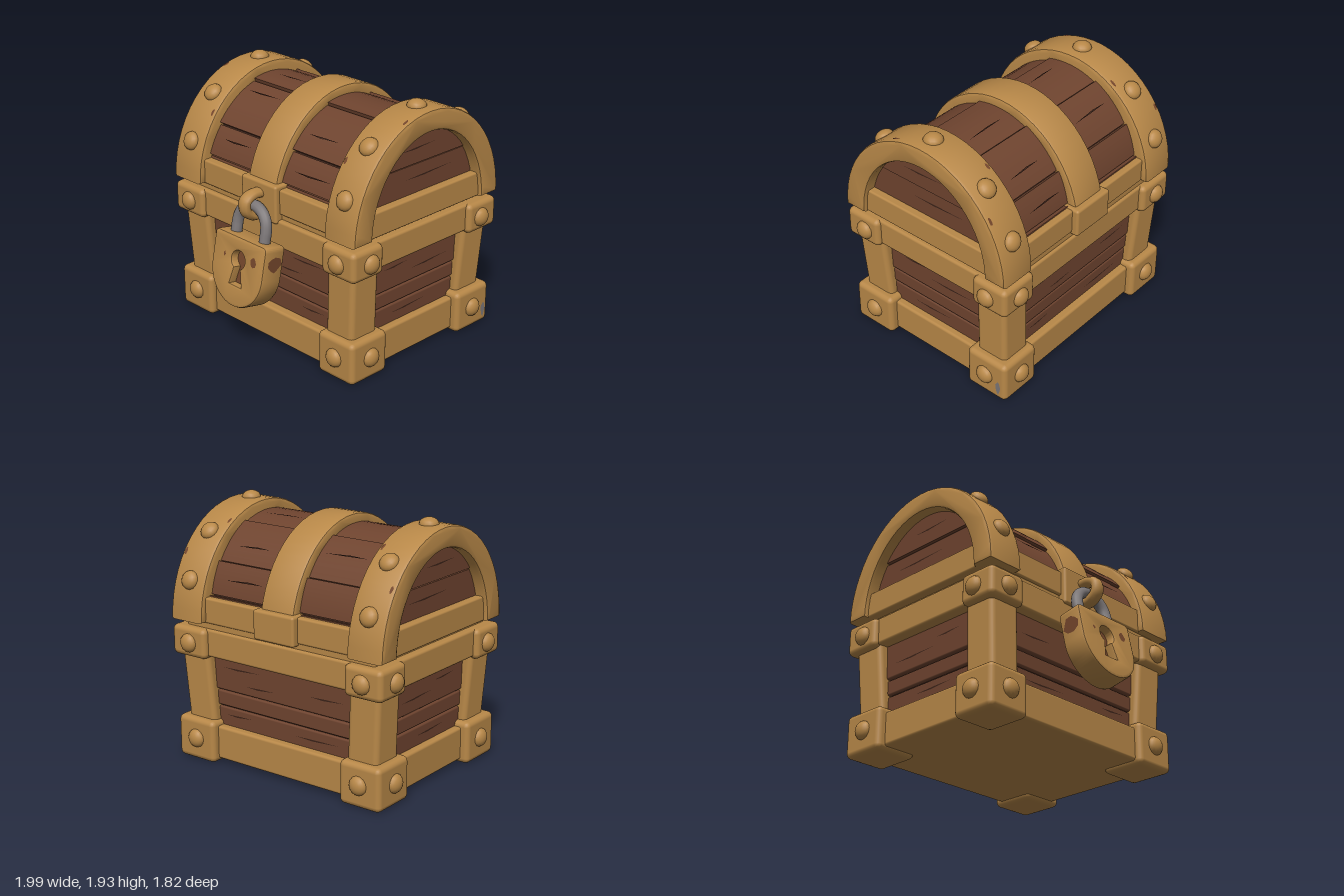
import * as THREE from 'three';
import { toCreasedNormals } from 'three/addons/utils/BufferGeometryUtils.js';
import { RoundedBoxGeometry } from 'three/addons/geometries/RoundedBoxGeometry.js';

const ZC = -0.11;      // depth centre of the chest
const LID_Y = 1.07;    // base of the lid
const V = (x, y, z) => new THREE.Vector3(x, y, z);

export function createModel() {
  const root = new THREE.Group();
  root.name = 'treasureChest';
  const material = (name, color) => Object.assign(new THREE.MeshStandardMaterial({ color }), { name });
  const gold = material('gold', 0xb88848);
  const wood = material('wood', 0x6f442f);
  const crackDark = material('crackDark', 0x3a2218);
  const steel = material('steel', 0x7b7677);
  const wear = material('wornBrown', 0x74462b);

  let seed = 7;
  const rand = () => (seed = (seed * 16807) % 2147483647) / 2147483647;

  const add = (name, geo, mat, parent = root) => {
    const m = new THREE.Mesh(geo, mat);
    m.name = name;
    parent.add(m);
    return m;
  };
  // Rounded box given by its limits
  const block = (name, x0, x1, y0, y1, z0, z1, mat = gold, r = 0.03) => {
    const geo = new RoundedBoxGeometry(x1 - x0, y1 - y0, z1 - z0, 2, r);
    geo.translate((x0 + x1) / 2, (y0 + y1) / 2, (z0 + z1) / 2);
    return add(name, geo, mat);
  };
  // Put a part on a surface, its local z along the normal
  const place = (mesh, pos, normal) => {
    mesh.position.copy(pos);
    mesh.quaternion.setFromUnitVectors(V(0, 0, 1), normal.clone().normalize());
    return mesh;
  };

  // Rivets: flattened domes
  const dome = new THREE.SphereGeometry(0.072, 14, 6, 0, Math.PI * 2, 0, Math.PI / 2);
  dome.rotateX(Math.PI / 2).scale(1, 1, 0.72);
  const rivet = (pos, normal) => place(add('rivet', dome, gold), pos, normal);

  // Thin cracks in the planks and worn patches on the metal
  const crack = (pos, normal, len, h = 0.014) => {
    const s = new THREE.Shape([[-len / 2, 0], [-len * 0.1, -h / 2], [len / 2, h * 0.6], [len * 0.05, h / 2]]
      .map(p => new THREE.Vector2(...p)));
    return place(add('plankCrack', new THREE.ShapeGeometry(s), crackDark), pos, normal);
  };
  const patch = (pos, normal, w, h, mat = wear, parent = root) => {
    const pts = [];
    for (let i = 0; i < 9; i++) {
      const a = i / 9 * Math.PI * 2, r = 0.75 + 0.4 * rand();
      pts.push(new THREE.Vector2(Math.cos(a) * r * w / 2, Math.sin(a) * r * h / 2));
    }
    return place(add('wornPatch', new THREE.ShapeGeometry(new THREE.Shape(pts)), mat, parent), pos, normal);
  };

  // Arch section between two angles, extruded from x0 to x1
  const arch = (name, x0, x1, outer, inner, t0, t1, mat, bevel, lift = 0, n = 28) => {
    const pts = [];
    const at = (e, t, k) => new THREE.Vector2(-(e[0] + k) * Math.cos(t), (e[1] + k) * Math.sin(t));
    for (let i = 0; i <= n; i++) pts.push(at(outer, t0 + (t1 - t0) * i / n, lift * (1 - i / n)));
    for (let i = n; i >= 0; i--) pts.push(at(inner, t0 + (t1 - t0) * i / n, 0));
    const geo = new THREE.ExtrudeGeometry(new THREE.Shape(pts), {
      depth: x1 - x0 - 2 * bevel, bevelEnabled: bevel > 0, bevelSize: bevel,
      bevelThickness: bevel, bevelOffset: -bevel, bevelSegments: 2,
    });
    geo.rotateY(Math.PI / 2).translate(x0 + bevel, LID_Y, ZC);
    return add(name, toCreasedNormals(geo, 0.6), mat);
  };
  const onArch = (x, t, a, b) => V(x, LID_Y + b * Math.sin(t), ZC + a * Math.cos(t));
  const archNormal = (t, a, b) => V(0, Math.sin(t) / b, Math.cos(t) / a);

  // ---- Body: base, planks and rails ----
  block('bodyCore', -0.79, 0.79, 0.1, 1.0, ZC - 0.60, ZC + 0.60, crackDark, 0.01);
  for (const [y0, y1, grow] of [[0.2, 0.425, 0], [0.435, 0.55, 0.006], [0.56, 0.9, 0.014]])
    block('bodyPlank', -0.81 - grow, 0.81 + grow, y0, y1, ZC - 0.62 - grow, ZC + 0.62 + grow, wood, 0.014);
  block('bottomRail', -0.865, 0.865, 0.03, 0.285, ZC - 0.68, ZC + 0.69, gold, 0.02);
  block('topRail', -0.91, 0.91, 0.82, 1.03, ZC - 0.71, ZC + 0.72, gold, 0.02);
  block('lidSeam', -0.85, 0.85, 1.0, 1.1, ZC - 0.69, ZC + 0.68, gold, 0.02);

  for (const sx of [-1, 1]) for (const sz of [-1, 1]) {
    const corner = (name, xi, xo, y0, y1, zi, zo) => block(name,
      Math.min(sx * xi, sx * xo), Math.max(sx * xi, sx * xo), y0, y1,
      ZC + Math.min(sz * zi, sz * zo), ZC + Math.max(sz * zi, sz * zo), gold, 0.04);
    corner('footCorner', 0.58, 0.93, 0, 0.325, 0.38, 0.74);
    corner('topCorner', 0.63, 0.95, 0.8, 1.03, 0.45, 0.755);
    // Posts narrow towards the foot
    const post = corner('cornerPost', 0.645, 0.905, 0.2, 0.9, 0.45, 0.71);
    const p = post.geometry.attributes.position;
    for (let i = 0; i < p.count; i++) {
      const k = (0.9 - p.getY(i)) / 0.7;
      p.setX(i, p.getX(i) - sx * 0.045 * k);
      p.setZ(i, p.getZ(i) - sz * 0.03 * k);
    }
    rivet(V(sx * 0.785, 0.91, ZC + sz * 0.75), V(0, 0, sz));
    rivet(V(sx * 0.945, 0.91, ZC + sz * 0.58), V(sx, 0, 0));
    rivet(V(sx * 0.75, 0.17, ZC + sz * 0.735), V(0, 0, sz));
    rivet(V(sx * 0.925, 0.17, ZC + sz * 0.55), V(sx, 0, 0));
  }

  // Body cracks on all four sides
  for (const s of [-1, 1]) {
    for (const [u, y, len] of [[-0.4, 0.68, 0.3], [0.38, 0.74, 0.34], [0.2, 0.63, 0.26], [-0.3, 0.35, 0.4], [0.42, 0.37, 0.24]])
      crack(V(u, y, ZC + s * (y > 0.55 ? 0.637 : 0.623)), V(0, 0, s), len);
    for (const [u, y, len] of [[-0.15, 0.66, 0.4], [0.2, 0.73, 0.25], [0.05, 0.36, 0.36]])
      crack(V(s * (y > 0.55 ? 0.827 : 0.813), y, ZC + u), V(s, 0, 0), len);
  }

  // ---- Lid: curved planks over a dark core ----
  arch('lidCore', -0.83, 0.83, [0.63, 0.70], [0.5, 0.57], 0, Math.PI, crackDark, 0);
  const seams = [0.02, 0.3, 0.64, 1.28, 1.94, 2.5, 2.86, 3.12];
  for (let i = 0; i < seams.length - 1; i++)
    arch('lidPlank', -0.8, 0.8, [0.655, 0.72], [0.58, 0.65], seams[i] + 0.008, seams[i + 1] - 0.008, wood, 0, 0.018, 8);
  for (const [x, t, len] of [[-0.4, 0.5, 0.3], [0.4, 0.45, 0.36], [0.35, 0.85, 0.3], [-0.42, 1.1, 0.34],
    [-0.38, 1.5, 0.3], [0.4, 1.72, 0.36], [-0.4, 2.2, 0.36], [0.4, 2.3, 0.3], [0.36, 2.68, 0.34]])
    crack(onArch(x, t, 0.675, 0.74), archNormal(t, 0.675, 0.74), len);

  // End panels, rails and bands
  for (const s of [-1, 1]) {
    for (const [t, yA, yB] of [[0, 1.1, 1.475], [1, 1.487, 1.75]]) {
      const half = y => 0.6 * Math.sqrt(Math.max(0, 1 - ((y - LID_Y) / 0.68) ** 2));
      const ys = Array.from({ length: 9 }, (_, i) => yA + (yB - yA) * i / 8);
      const shape = new THREE.Shape([
        ...ys.map(y => new THREE.Vector2(half(y), y)),
        ...ys.reverse().map(y => new THREE.Vector2(-half(y), y))]);
      const geo = new THREE.ExtrudeGeometry(shape, { depth: 0.1, bevelEnabled: false });
      geo.rotateY(s * Math.PI / 2).translate(s * (0.76 + t * 0.012), 0, ZC);
      add('lidEndPlank', geo, wood);
    }
    crack(V(s * 0.863, 1.38, ZC - 0.08), V(s, 0, 0), 0.5);
    crack(V(s * 0.875, 1.6, ZC + 0.05), V(s, 0, 0), 0.36);
    block('lidEndRail', s > 0 ? 0.8 : -0.92, s > 0 ? 0.92 : -0.8, 1.07, 1.26, ZC - 0.62, ZC + 0.62, gold, 0.015);
    block('lidSideRail', -0.7, 0.7, 1.07, 1.26, ZC + s * 0.65 - 0.05, ZC + s * 0.65 + 0.05, gold, 0.015);
    arch('lidEndBand', s > 0 ? 0.655 : -0.955, s > 0 ? 0.955 : -0.655, [0.75, 0.81], [0.57, 0.65], 0, Math.PI, gold, 0.025);
    for (const t of [0.38, 0.89, Math.PI / 2, Math.PI - 0.89, Math.PI - 0.38])
      rivet(onArch(s * 0.805, t, 0.745, 0.805), archNormal(t, 0.75, 0.81));
    for (const [x, t] of [[0.69, 0.7], [0.92, 1.25], [0.69, 2.1], [0.92, 2.5]])
      patch(onArch(s * x, t, 0.752, 0.812), archNormal(t, 0.75, 0.81), 0.025, 0.06);
  }
  arch('lidMiddleBand', -0.165, 0.13, [0.725, 0.80], [0.62, 0.69], 0, Math.PI, gold, 0.02);
  block('frontClaspPlate', -0.2, 0.165, 1.0, 1.29, 0.5, 0.63, gold, 0.02);
  block('backClaspPlate', -0.2, 0.165, 1.05, 1.27, -0.86, -0.72, gold, 0.02);

  // Hasp loop on the clasp plate
  const haspPath = new THREE.CatmullRomCurve3([V(0, 1.2, 0.59), V(0, 1.205, 0.7), V(0, 1.17, 0.76),
    V(0, 1.1, 0.76), V(0, 1.05, 0.7), V(0, 1.04, 0.59)]);
  const hasp = add('haspLoop', new THREE.TubeGeometry(haspPath, 28, 0.038, 10), gold);
  hasp.scale.x = 1.4;
  hasp.position.x = -0.01;

  // ---- Padlock, hanging at a tilt ----
  const lock = new THREE.Group();
  lock.name = 'padlock';
  lock.position.set(-0.007, 0.645, 0.77);
  lock.rotation.x = -0.2;
  root.add(lock);
  const body = new THREE.Shape();
  body.moveTo(-0.27, 0.21);
  body.lineTo(-0.27, 0);
  body.absarc(0, 0, 0.27, Math.PI, Math.PI * 2, false);
  body.lineTo(0.27, 0.21);
  body.quadraticCurveTo(0.27, 0.25, 0.23, 0.25);
  body.lineTo(-0.23, 0.25);
  body.quadraticCurveTo(-0.27, 0.25, -0.27, 0.21);
  const hole = new THREE.Path();
  hole.moveTo(0.06, -0.11);
  hole.lineTo(0.03, 0.02);
  hole.absarc(0, 0.08, 0.067, -1.1, Math.PI + 1.1, false);
  hole.lineTo(-0.06, -0.11);
  body.holes.push(hole);
  const lockGeo = new THREE.ExtrudeGeometry(body, {
    depth: 0.15, bevelSize: 0.02, bevelThickness: 0.02, bevelOffset: -0.02, bevelSegments: 2, curveSegments: 20,
  });
  add('lockBody', toCreasedNormals(lockGeo.translate(0, 0, -0.075), 0.6), gold, lock);
  add('lockBack', new THREE.BoxGeometry(0.2, 0.3, 0.11), gold, lock).position.set(0, 0.02, -0.035);
  add('keyholeFloor', new THREE.BoxGeometry(0.19, 0.29, 0.008), wear, lock).position.set(0, 0.02, 0.025);
  patch(V(0.16, 0.11, 0.097), V(0, 0, 1), 0.06, 0.08, wear, lock);
  patch(V(-0.14, 0.09, 0.097), V(0, 0, 1), 0.025, 0.035, wear, lock);
  for (const s of [-1, 1]) patch(V(s * 0.272, 0.12, 0), V(s, 0, 0), 0.14, 0.13, wear, lock);

  // Shackle
  const bow = [V(-0.15, 0.2, 0), V(-0.15, 0.28, 0)];
  for (let i = 0; i <= 8; i++) {
    const a = Math.PI * (1 - i / 8);
    bow.push(V(Math.cos(a) * 0.15, 0.33 + Math.sin(a) * 0.15, 0));
  }
  bow.push(V(0.15, 0.28, 0), V(0.15, 0.2, 0));
  add('shackle', new THREE.TubeGeometry(new THREE.CatmullRomCurve3(bow), 40, 0.043, 12), steel, lock);

  // Bare metal where the paint has chipped
  patch(V(0.933, 0.11, -0.785), V(1, 0, 0), 0.045, 0.12, steel);
  return root;
}
